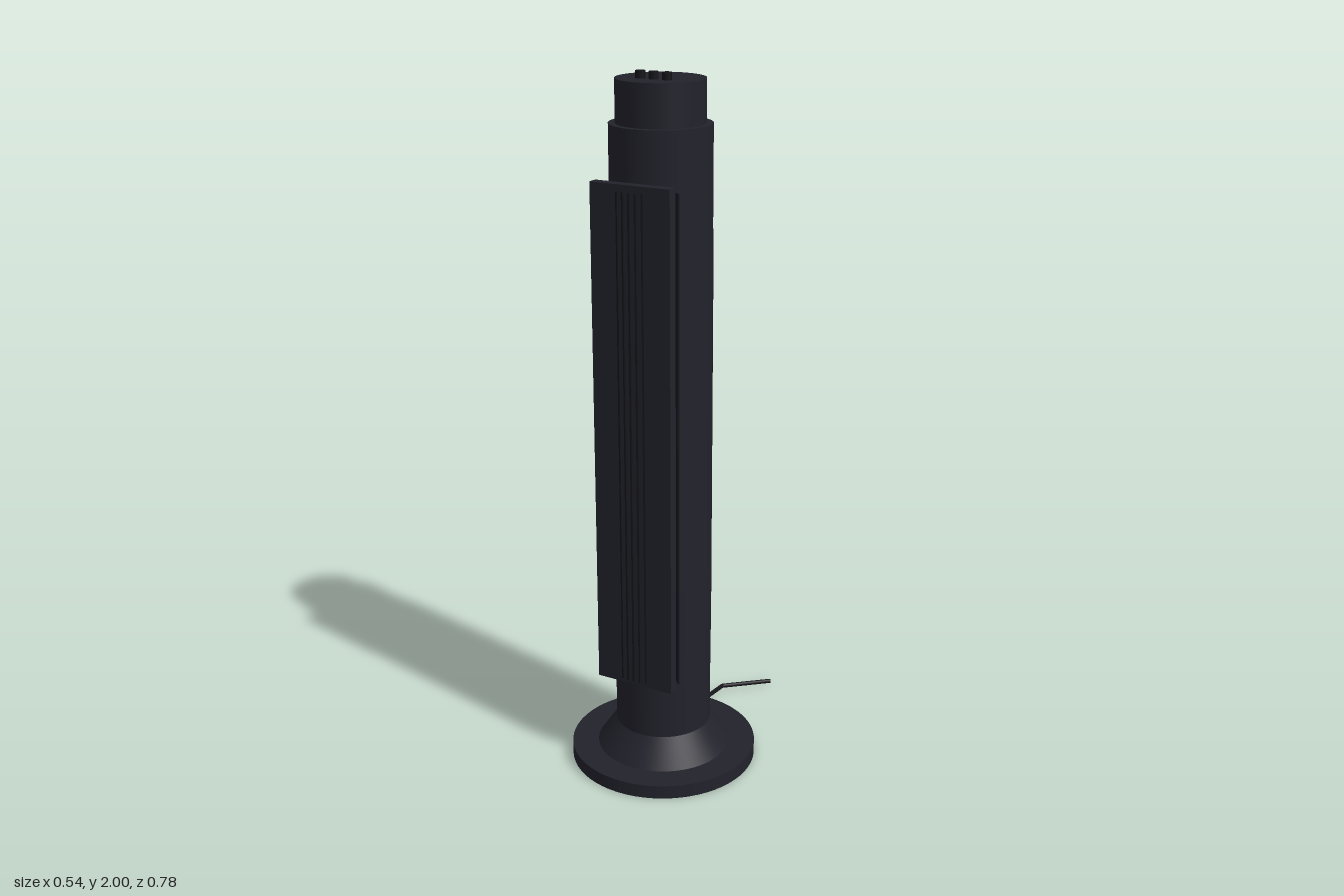
import * as THREE from 'three';

export function createModel() {
  const model = new THREE.Group();
  const AXIS_Z = 0.118; // the column stands forward of the origin, the cord trails behind

  const material = (name, color) => {
    const m = new THREE.MeshStandardMaterial({ color });
    m.name = name;
    return m;
  };
  const body = material('charcoal plastic', 0x22222c);
  const dark = material('black plastic', 0x15151a);

  const add = (parent, name, geometry, mat, x, y, z) => {
    const mesh = new THREE.Mesh(geometry, mat);
    mesh.name = name;
    mesh.position.set(x, y, z);
    parent.add(mesh);
    return mesh;
  };

  // Upright round part between two heights
  const drum = (name, rTop, rBottom, y0, y1) =>
    add(model, name, new THREE.CylinderGeometry(rTop, rBottom, y1 - y0, 64), body, 0, (y0 + y1) / 2, AXIS_Z);

  drum('base', 0.27, 0.27, 0, 0.04);
  drum('baseCollar', 0.138, 0.193, 0.04, 0.12);
  drum('column', 0.138, 0.138, 0.115, 1.865);
  drum('topCap', 0.12, 0.12, 1.86, 1.98);

  // Radial slats on an arc around the column, facing the given direction
  function grille(name, { facing, count, spread, radius, depth, y0, y1 }) {
    const group = new THREE.Group();
    group.name = name;
    group.position.z = AXIS_Z;
    const slat = new THREE.BoxGeometry(0.005, y1 - y0, depth);
    for (let i = 0; i < count; i++) {
      const a = facing + spread * (i / (count - 1) - 0.5) * 2;
      const mesh = add(group, 'slat', slat, dark,
        Math.sin(a) * radius, (y0 + y1) / 2, Math.cos(a) * radius);
      mesh.rotation.y = a;
    }
    model.add(group);
  }
  grille('frontGrille', { facing: 0, count: 15, spread: 0.76, radius: 0.165, depth: 0.02, y0: 0.31, y1: 1.71 });
  grille('rearGrille', { facing: Math.PI, count: 17, spread: 0.78, radius: 0.138, depth: 0.016, y0: 0.375, y1: 1.575 });

  // Flat front panel
  add(model, 'frontPanel', new THREE.BoxGeometry(0.236, 1.43, 0.029), body, 0, 1.013, 0.2715);

  // Control buttons
  for (const x of [-0.039, 0, 0.039]) {
    add(model, 'button', new THREE.CylinderGeometry(0.013, 0.013, 0.025, 12), dark, x, 1.9875, 0.155);
  }

  // Power cord in straight runs
  const cord = new THREE.Group();
  cord.name = 'powerCord';
  model.add(cord);
  const points = [[0, 0.04, -0.115], [0, 0.02, -0.27], [0.115, 0.012, -0.385]]
    .map((p) => new THREE.Vector3(...p));
  for (let i = 0; i < points.length - 1; i++) {
    const run = points[i + 1].clone().sub(points[i]);
    const mid = points[i].clone().addScaledVector(run, 0.5);
    const mesh = add(cord, 'cordRun', new THREE.CylinderGeometry(0.0065, 0.0065, run.length(), 10), dark, mid.x, mid.y, mid.z);
    mesh.quaternion.setFromUnitVectors(new THREE.Vector3(0, 1, 0), run.normalize());
  }
  add(cord, 'cordBend', new THREE.SphereGeometry(0.0065, 10, 8), dark, ...points[1].toArray());

  return model;
}
